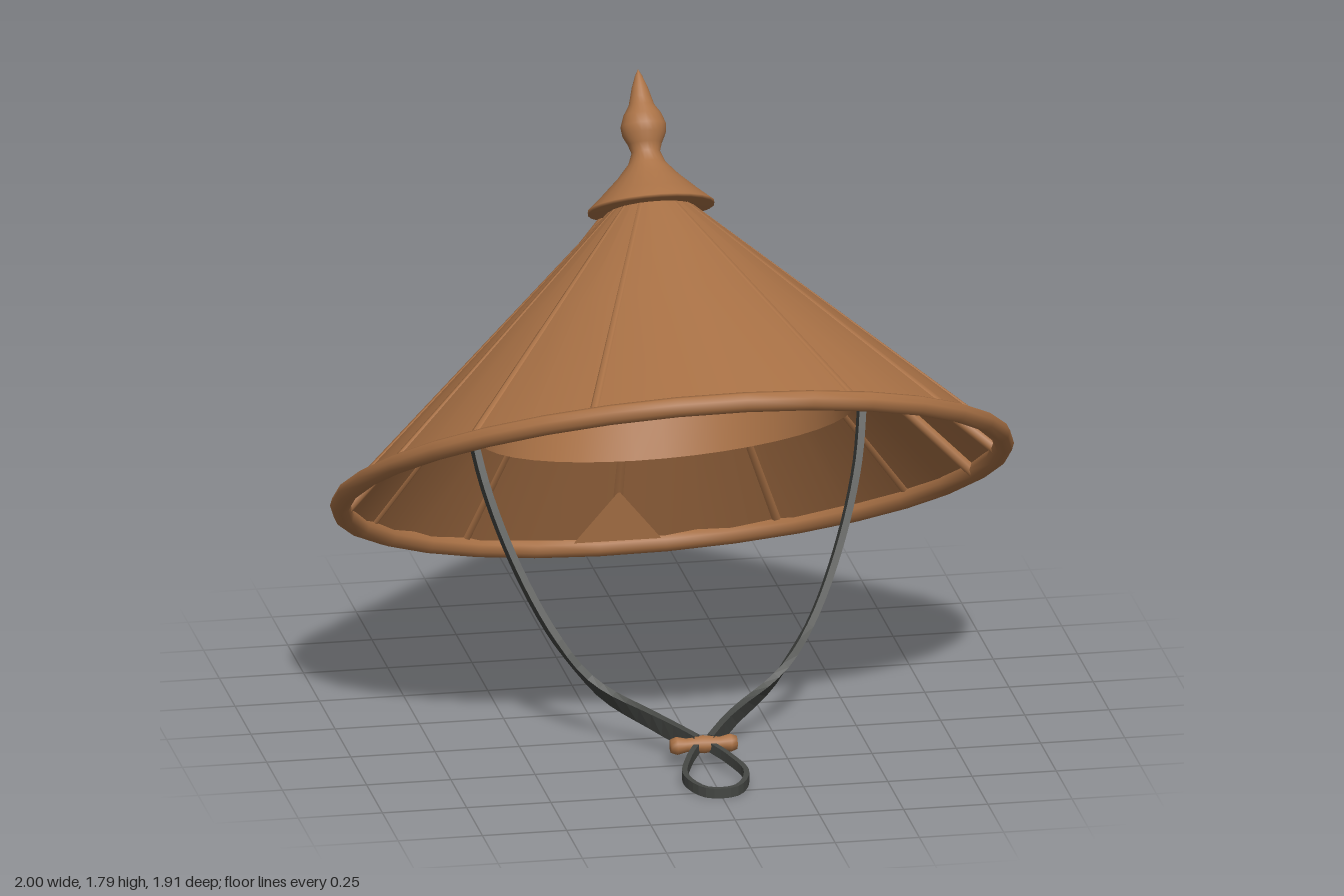
import * as THREE from 'three';

const V = (x, y, z) => new THREE.Vector3(x, y, z);

export function createModel() {
  const model = new THREE.Group();
  const bamboo = new THREE.MeshStandardMaterial({ color: 0xaa7246, side: THREE.DoubleSide });
  bamboo.name = 'bamboo brown';
  const cloth = new THREE.MeshStandardMaterial({ color: 0x444643, side: THREE.DoubleSide });
  cloth.name = 'dark cloth';

  // Tilted frame of the hat: origin at the brim centre, y along the hat's axis
  const hat = new THREE.Group();
  hat.name = 'hat';
  hat.position.y = 0.724;
  hat.rotation.x = -THREE.MathUtils.degToRad(30.3);
  model.add(hat);

  const add = (parent, name, geometry, material = bamboo) => {
    const mesh = new THREE.Mesh(geometry, material);
    mesh.name = name;
    parent.add(mesh);
    return mesh;
  };

  // Skin a list of point rings; closed joins the last point of a ring to its first
  const loft = (rings, closed = true) => {
    const n = rings[0].length, index = [];
    for (let r = 0; r < rings.length - 1; r++) {
      for (let i = 0; i < (closed ? n : n - 1); i++) {
        const j = (i + 1) % n, a = r * n + i, b = r * n + j;
        index.push(a, b, a + n, b, b + n, a + n);
      }
    }
    const g = new THREE.BufferGeometry().setFromPoints(rings.flat());
    g.setIndex(index);
    g.computeVertexNormals();
    return g;
  };

  const rod = (parent, name, from, to, r0, r1) => {
    const dir = to.clone().sub(from);
    const mesh = add(parent, name, new THREE.CylinderGeometry(r1, r0, dir.length(), 8));
    mesh.position.copy(from).addScaledVector(dir, 0.5);
    mesh.quaternion.setFromUnitVectors(V(0, 1, 0), dir.normalize());
  };

  // Cone: angle 0 is the back, t runs from brim to apex
  const RX = 0.97, RZ = 1.07, APEX = V(0, 0.89, 0.07);
  const onCone = (deg, t) => {
    const a = THREE.MathUtils.degToRad(deg);
    return V(RX * Math.sin(a), 0, -RZ * Math.cos(a)).lerp(APEX, t);
  };
  const half = [0, 29, 56, 77, 94, 111, 132, 156, 180];
  const ribAngles = [...half, ...half.slice(1, -1).reverse().map(a => 360 - a)];
  const angles = ribAngles.flatMap((a, i) => [a, (a + (ribAngles[i + 1] ?? 360)) / 2]).reverse();
  add(hat, 'coneShell', loft([0, 0.5, 0.96].map(t => angles.map(a => onCone(a, t)))));

  // Rolled brim
  const brim = new THREE.CatmullRomCurve3(angles.map(a => onCone(a, 0)), true);
  add(hat, 'brim', new THREE.TubeGeometry(brim, 32, 0.03, 8, true));

  // Ribs: the back ones stand proud, the others lie nearly flush outside
  for (const a of ribAngles) {
    const back = Math.min(a, 360 - a) < 60;
    const r = back ? 0.022 : 0.018;
    const offset = back ? 0.014 : a === 180 ? -0.02 : -0.011;
    const outward = V(Math.sin(a * Math.PI / 180), 1, -Math.cos(a * Math.PI / 180))
      .normalize().multiplyScalar(offset);
    rod(hat, 'rib', onCone(a, 0.005).add(outward), onCone(a, 0.92).add(outward), r, r * 0.7);
  }

  // Cap and finial
  const profile = [[0.12, 0.775], [0.186, 0.775], [0.186, 0.785], [0.14, 0.825], [0.09, 0.872],
    [0.055, 0.912], [0.042, 0.945], [0.05, 0.97], [0.064, 0.998], [0.067, 1.025], [0.056, 1.057],
    [0.038, 1.085], [0.031, 1.11], [0.023, 1.14], [0.011, 1.172], [0.0005, 1.192]];
  const cap = add(hat, 'capAndFinial',
    new THREE.LatheGeometry(profile.map(p => new THREE.Vector2(...p)), 24));
  cap.position.z = 0.07;

  // Head band inside
  const bandRing = (rx, rz, y) => Array.from({ length: 40 }, (_, i) => {
    const a = -i * Math.PI / 20;
    return V(rx * Math.cos(a), y, rz * Math.sin(a));
  });
  add(hat, 'headBand', loft([bandRing(0.55, 0.58, 0.155), bandRing(0.535, 0.565, 0.325)]));

  // Patch inside the back of the brim
  add(hat, 'backPatch', loft([[V(-0.13, 0, -1.0), V(0.13, 0, -1.0)],
    [V(-0.002, 0.125, -0.9), V(0.002, 0.125, -0.9)]], false));

  // Knobs on the head band
  for (const s of [-1, 1]) {
    for (const [x, y, z] of [[0.57, 0.245, -0.005], [0.32, 0.317, -0.46]]) {
      add(hat, 'bandKnob', new THREE.SphereGeometry(0.027, 12, 8)).position.set(s * x, y, z);
    }
  }

  // Flat ribbon along a curve; across gives the width direction from the tangent
  const ribbon = (curve, steps, width, thick, across) => {
    const rings = [];
    for (let i = 0; i <= steps; i++) {
      const p = curve.getPointAt(i / steps), t = curve.getTangentAt(i / steps);
      const w = across(t).normalize();
      const n = w.clone().cross(t).normalize().multiplyScalar(thick / 2);
      w.multiplyScalar(width / 2);
      rings.push([[1, 1], [-1, 1], [-1, -1], [1, -1]].map(([a, b]) =>
        p.clone().addScaledVector(w, a).addScaledVector(n, b)));
    }
    const g = loft(rings).toNonIndexed();
    g.computeVertexNormals();
    return g;
  };

  // Chin straps
  const strapPath = [[0.59, 0.93, -0.12], [0.55, 0.71, -0.01], [0.47, 0.48, 0.095],
    [0.37, 0.29, 0.185], [0.26, 0.16, 0.245], [0.12, 0.09, 0.35], [0.02, 0.064, 0.5]];
  for (const s of [-1, 1]) {
    const curve = new THREE.CatmullRomCurve3(strapPath.map(([x, y, z]) => V(s * x, y, z)));
    add(model, 'chinStrap', ribbon(curve, 28, 0.055, 0.02, t => t.clone().cross(V(1, 0, 0))), cloth);
  }

  // Loop hanging past the toggle
  const loop = new THREE.CatmullRomCurve3([V(0.015, 0.058, 0.5), V(0.06, 0.045, 0.59),
    V(0.09, 0.03, 0.7), V(0.05, 0.018, 0.785), V(0, 0.016, 0.8), V(-0.05, 0.018, 0.785),
    V(-0.09, 0.03, 0.7), V(-0.06, 0.045, 0.59), V(-0.015, 0.058, 0.5)]);
  add(model, 'strapLoop', ribbon(loop, 32, 0.03, 0.016, () => V(0, 1, 0)), cloth);

  // Toggle with thicker ends and middle
  const outline = [[0, -0.1], [0.02, -0.098], [0.027, -0.08], [0.02, -0.05], [0.027, 0],
    [0.02, 0.05], [0.027, 0.08], [0.02, 0.098], [0, 0.1]];
  const toggle = add(model, 'toggle',
    new THREE.LatheGeometry(outline.map(p => new THREE.Vector2(...p)), 12));
  toggle.rotation.z = Math.PI / 2;
  toggle.position.set(0, 0.062, 0.5);

  return model;
}
